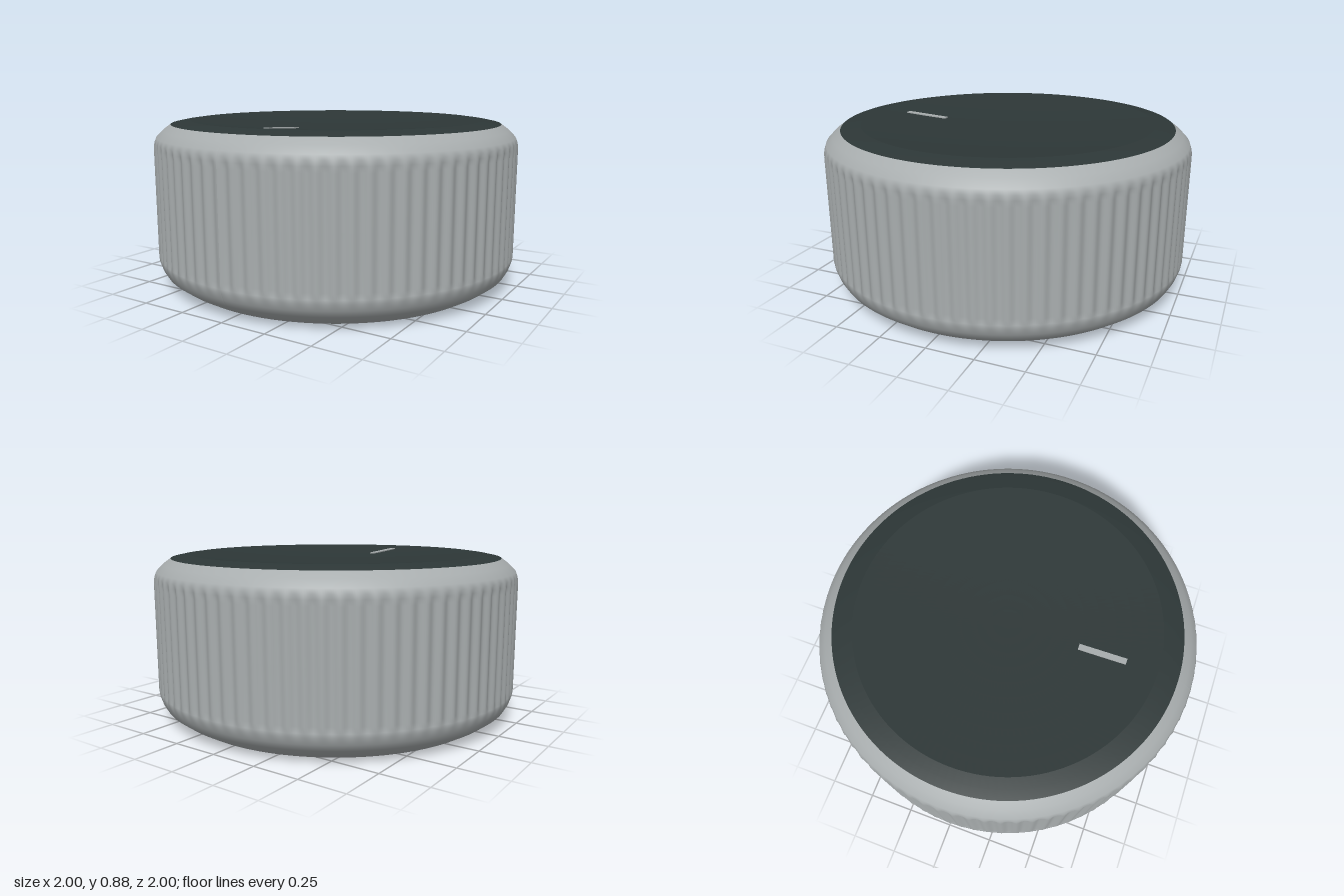
import * as THREE from 'three';

const FLUTES = 80;
const SEGMENTS = FLUTES * 8;
const lathe = (pts, segments) =>
  new THREE.LatheGeometry(pts.map(([r, y]) => new THREE.Vector2(r, y)), segments);

// Height of the shallow dish at radius r
const dishHeight = (r) => 0.848 + 0.037 * (r / 0.8) ** 2;

// Open skirt whose straight side is pressed in by vertical flutes
function fluteGeometry() {
  const geo = lathe([
    [0.86, 0], [0.915, 0.032], [0.965, 0.07], [0.985, 0.105], [0.997, 0.14], [1, 0.16], [1, 0.19],
    [1, 0.46], [1, 0.72], [1, 0.75], [0.995, 0.775], [0.985, 0.8], [0.95, 0.836], [0.908, 0.867],
  ], SEGMENTS);
  const pos = geo.attributes.position;
  for (let i = 0; i < pos.count; i++) {
    const x = pos.getX(i), y = pos.getY(i), z = pos.getZ(i);
    const fade = THREE.MathUtils.smoothstep(y, 0.135, 0.185) *
      (1 - THREE.MathUtils.smoothstep(y, 0.735, 0.785));
    const wave = 0.5 - 0.5 * Math.cos(Math.atan2(x, z) * FLUTES);
    const k = 1 - 0.013 * fade * wave;
    pos.setXYZ(i, x * k, y, z * k);
  }
  geo.computeVertexNormals();
  return geo;
}

export function createModel() {
  const grey = new THREE.MeshStandardMaterial({ color: 0xa8adae, side: THREE.DoubleSide });
  grey.name = 'satin grey';
  const dark = new THREE.MeshStandardMaterial({ color: 0x2d3737, side: THREE.DoubleSide });
  dark.name = 'dark slate';

  const group = new THREE.Group();
  group.name = 'controlKnob';
  const add = (name, geometry, material) => {
    const mesh = new THREE.Mesh(geometry, material);
    mesh.name = name;
    group.add(mesh);
    return mesh;
  };

  add('flutedSkirt', fluteGeometry(), grey);

  // Cap: sloping rim around a shallow dish
  add('capRim', lathe([[0.908, 0.867], [0.86, 0.877], [0.8, 0.885]], 128), dark);
  const dish = [];
  for (let i = 0; i <= 10; i++) {
    const r = 0.8 * (1 - i / 10);
    dish.push([r, dishHeight(r)]);
  }
  add('capDish', lathe(dish, 128), dark);

  // Pointer mark lying on the dish slope
  const z0 = 0.385, z1 = 0.637;
  const y0 = dishHeight(z0), y1 = dishHeight(z1);
  const mark = add('pointerMark',
    new THREE.BoxGeometry(0.032, 0.008, Math.hypot(z1 - z0, y1 - y0)), grey);
  mark.position.set(0, (y0 + y1) / 2 + 0.001, (z0 + z1) / 2);
  mark.rotation.x = -Math.atan2(y1 - y0, z1 - z0);

  return group;
}
